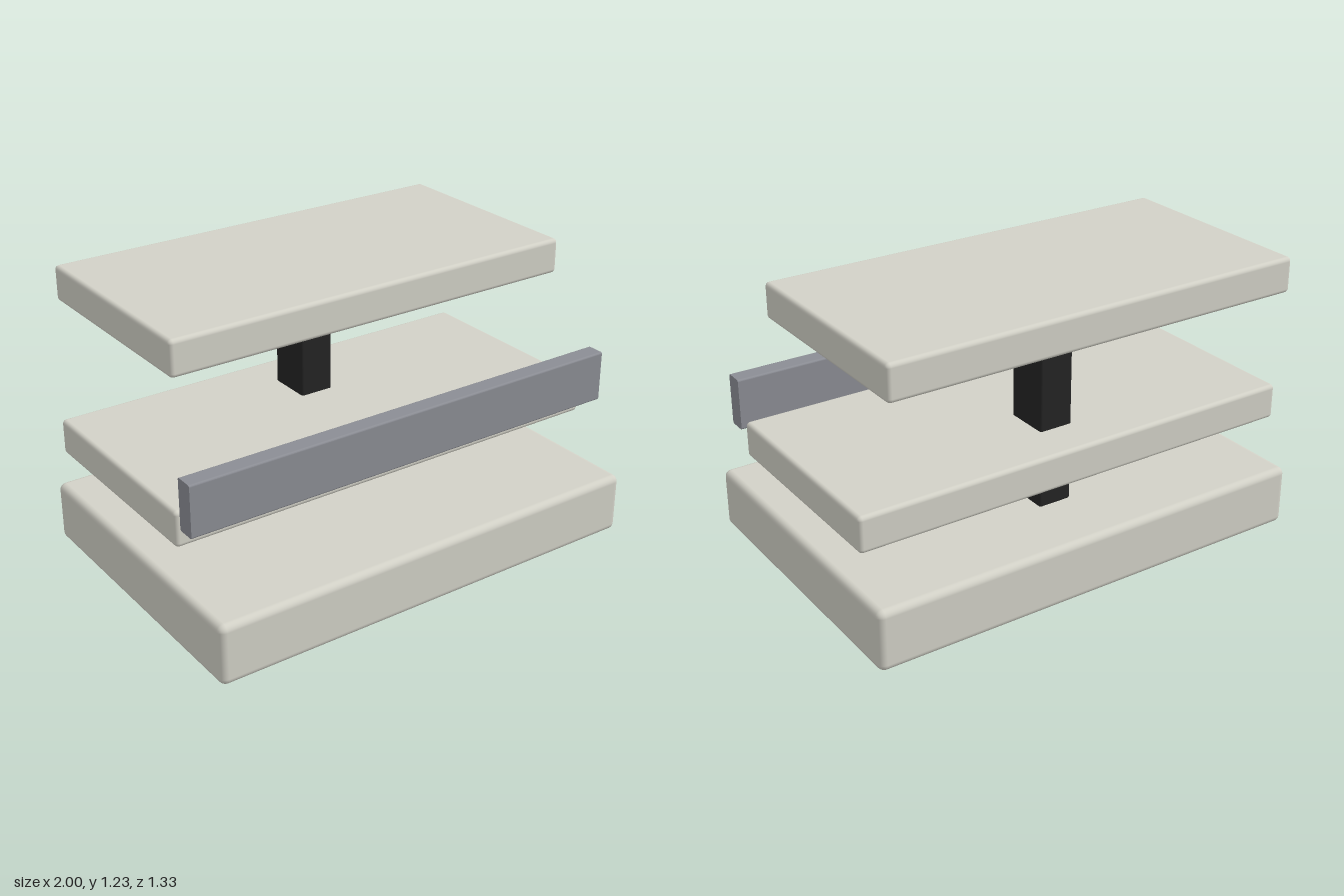
import * as THREE from 'three';
import { RoundedBoxGeometry } from 'three/addons/geometries/RoundedBoxGeometry.js';

export function createModel() {
  const model = new THREE.Group();
  model.name = 'tieredStand';

  const material = (name, color) => {
    const m = new THREE.MeshStandardMaterial({ color });
    m.name = name;
    return m;
  };
  const stone = material('paleStone', 0xd2d1c7);
  const steel = material('greySteel', 0x8b8d94);
  const black = material('blackMetal', 0x242424);

  // Soft-edged block, centred on x, given by its y and z extents
  const block = (name, mat, width, [y0, y1], [z0, z1], radius) => {
    const geometry = new RoundedBoxGeometry(width, y1 - y0, z1 - z0, 3, radius);
    const mesh = new THREE.Mesh(geometry, mat);
    mesh.name = name;
    mesh.position.set(0, (y0 + y1) / 2, (z0 + z1) / 2);
    model.add(mesh);
  };

  // Three slabs stacked with gaps
  block('baseSlab', stone, 1.99, [0.005, 0.267], [-0.665, 0.665], 0.03);
  block('middleSlab', stone, 2.0, [0.46, 0.613], [-0.555, 0.377], 0.018);
  block('topSlab', stone, 1.85, [1.082, 1.233], [-0.665, 0.265], 0.018);

  // Central post, just off the base, passing through the middle slab
  block('post', black, 0.15, [0.27, 1.09], [-0.365, -0.168], 0.01);

  // Front bar: rounded profile swept along x, with flat ends
  const hz = 0.04, hy = 0.11, r = 0.008;
  const profile = new THREE.Shape();
  profile.absarc(hz - r, hy - r, r, 0, Math.PI / 2);
  profile.absarc(r - hz, hy - r, r, Math.PI / 2, Math.PI);
  profile.absarc(r - hz, r - hy, r, Math.PI, Math.PI * 1.5);
  profile.absarc(hz - r, r - hy, r, Math.PI * 1.5, Math.PI * 2);
  profile.closePath();
  const barGeometry = new THREE.ExtrudeGeometry(profile, { depth: 2, bevelEnabled: false, curveSegments: 4 });
  barGeometry.translate(0, 0, -1).rotateY(Math.PI / 2);
  const bar = new THREE.Mesh(barGeometry, steel);
  bar.name = 'frontBar';
  bar.position.set(0, 0.669, 0.455);
  model.add(bar);

  return model;
}
